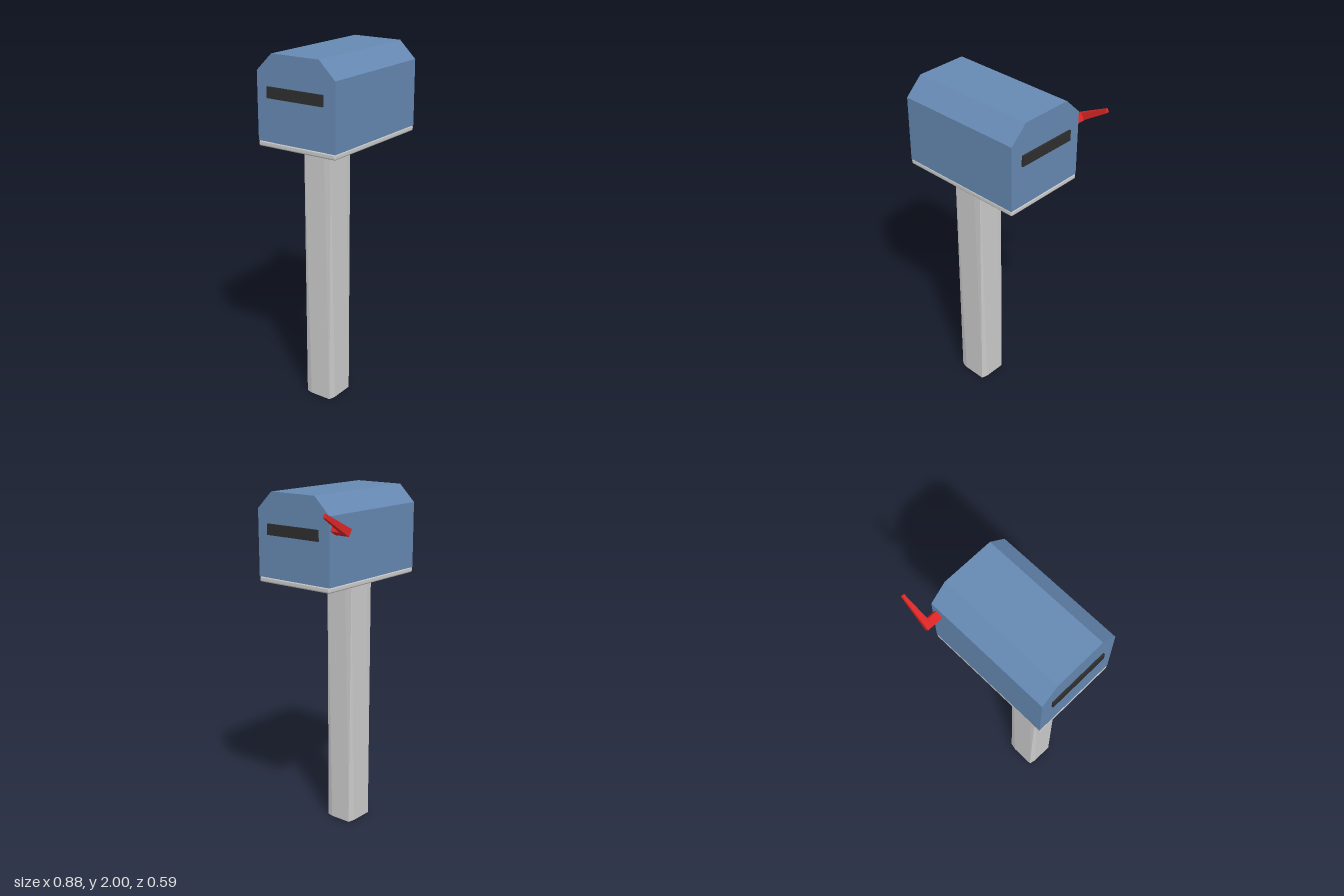
import * as THREE from 'three';
import { ConvexGeometry } from 'three/addons/geometries/ConvexGeometry.js';
import { RoundedBoxGeometry } from 'three/addons/geometries/RoundedBoxGeometry.js';

function material(name, color) {
  const m = new THREE.MeshStandardMaterial({ color });
  m.name = name;
  return m;
}

export function createModel() {
  const model = new THREE.Group();
  model.name = 'mailbox';
  const blue = material('blue paint', 0x6689b3);
  const grey = material('light grey', 0xcccccc);
  const dark = material('charcoal', 0x2e2e2e);
  const red = material('flag red', 0xd92525);

  const add = (name, geometry, mat, x = 0, y = 0, z = 0) => {
    const mesh = new THREE.Mesh(geometry, mat);
    mesh.name = name;
    mesh.position.set(x, y, z);
    model.add(mesh);
    return mesh;
  };

  // Box body: chamfered roof profile (z, y) extruded along x
  const profile = new THREE.Shape([
    [-0.292, 1.535], [0.205, 1.535], [0.205, 1.905], [0.107, 2], [-0.193, 2], [-0.292, 1.905],
  ].map(([x, y]) => new THREE.Vector2(x, y)));
  const body = new THREE.ExtrudeGeometry(profile, { depth: 0.742, bevelEnabled: false });
  body.rotateY(Math.PI / 2);
  add('body', body, blue, -0.429);

  // Base plate with softened edges
  add('basePlate', new RoundedBoxGeometry(0.746, 0.032, 0.497, 2, 0.01), grey, -0.058, 1.521, 0.0435);

  // Slot plates on both ends
  for (const [name, x] of [['leftSlot', 0.3185], ['rightSlot', -0.4345]]) {
    add(name, new THREE.BoxGeometry(0.0098, 0.06, 0.355), dark, x, 1.8, 0.0425);
  }

  // Post: eight-sided section whose faces slide round slightly along its length
  const postPoints = [];
  for (const [y, from, to] of [[0, -0.055, 0.085], [1.508, -0.09, 0.05]]) {
    for (let side = 0; side < 4; side++) {
      for (const u of [from, to]) {
        const p = new THREE.Vector3(u, y, 0.095).applyAxisAngle(new THREE.Vector3(0, 1, 0), side * Math.PI / 2);
        postPoints.push(p.set(p.x, y, p.z * 0.92));
      }
    }
  }
  add('post', new ConvexGeometry(postPoints), grey, -0.165, 0, 0.0475);

  // Flag: tilted square stem out of the back, then a tapering arm
  const prism = (ends) => new ConvexGeometry(
    ends.flatMap(([points, z]) => points.map(([x, y]) => new THREE.Vector3(x, y, z))));
  const stem = [[0.283, 1.865], [0.305, 1.828], [0.267, 1.805], [0.245, 1.842]];
  add('flagStem', prism([[stem, -0.2], [stem, -0.262]]), red);
  const root = [[0.245, 1.842], [0.267, 1.805]];
  const tip = [[0.43, 1.935], [0.44, 1.916]];
  add('flagArm', prism([[root, -0.258], [root, -0.296], [tip, -0.27], [tip, -0.286]]), red);

  return model;
}
